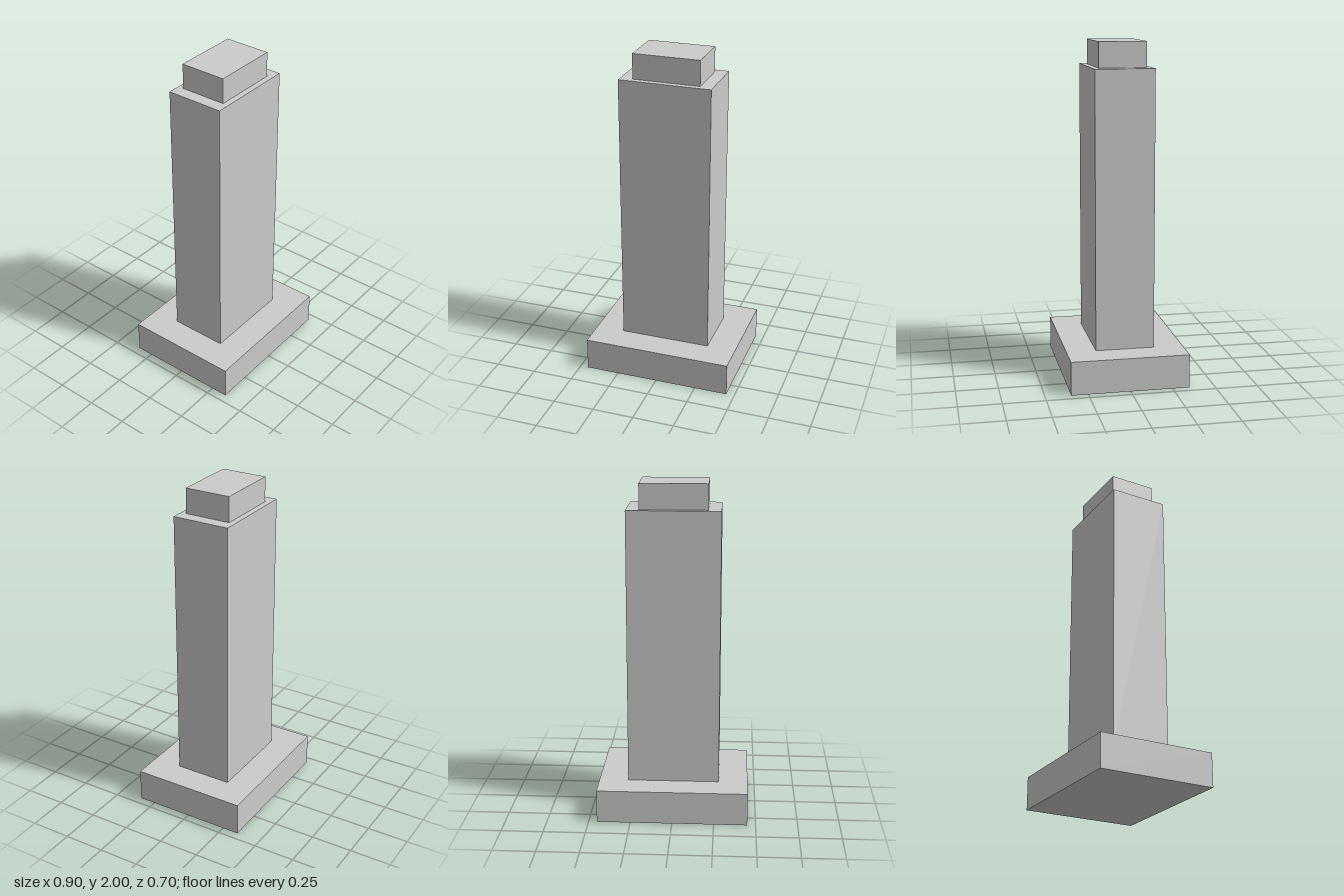
import * as THREE from 'three';

export function createModel() {
  const group = new THREE.Group();
  group.name = 'tower';
  const material = new THREE.MeshStandardMaterial({ color: 0xcccccc, flatShading: true });

  // Adds a centred block spanning the heights bottom to top
  function addBlock(name, width, depth, bottom, top) {
    const mesh = new THREE.Mesh(new THREE.BoxGeometry(width, top - bottom, depth), material);
    mesh.name = name;
    mesh.position.y = (bottom + top) / 2;
    group.add(mesh);
  }

  addBlock('base', 0.9, 0.7, 0, 0.2);
  addBlock('shaft', 0.55, 0.35, 0.2, 1.85);
  addBlock('cap', 0.4, 0.28, 1.85, 2);

  return group;
}
